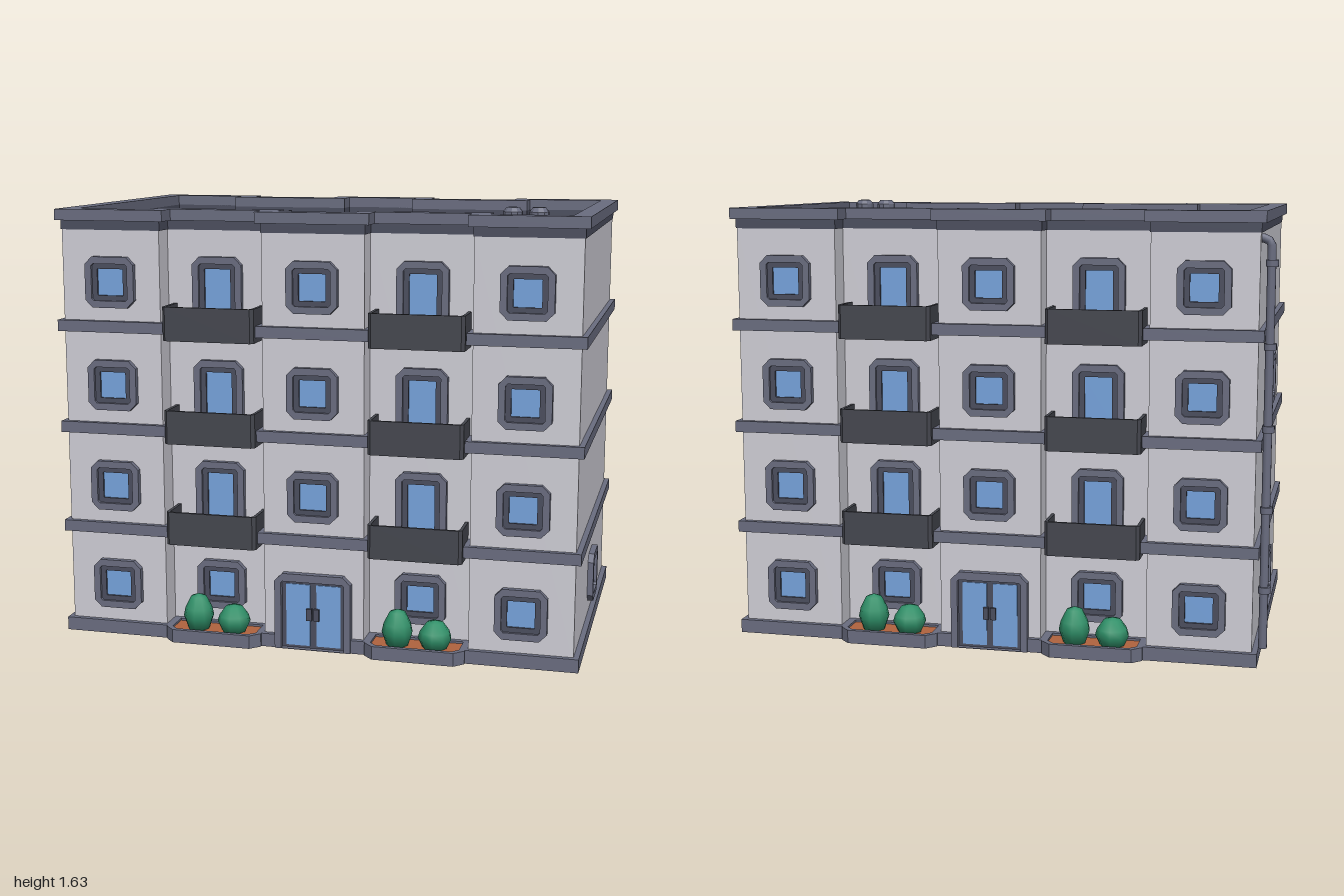
import * as THREE from 'three';

const paint = (color, extra = {}) => new THREE.MeshStandardMaterial({ color, ...extra });
const WALL = paint(0xcfced6), TRIM = paint(0x6a6d80), DARK = paint(0x4b4e5e), GLASS = paint(0x76a3dc);
const RAIL = paint(0x45474f), ROOF = paint(0x3f3f49), LEAF = paint(0x2f8f68), SOIL = paint(0xb0643f);

const BAY = 0.385;      // distance of each recessed bay from the centre line
const STOREY = 0.384;   // floor to floor height
const FACE = 0.58, RECESS = 0.49, SIDE = 0.96;

function add(parent, name, geometry, material, x = 0, y = 0, z = 0) {
  const mesh = new THREE.Mesh(geometry, material);
  mesh.name = name;
  mesh.position.set(x, y, z);
  parent.add(mesh);
  return mesh;
}

const toPoints = (list) => list.map(([x, y]) => new THREE.Vector2(x, y));

// Extrusion of an outline with an optional hole
function prism(outline, depth, hole) {
  const shape = new THREE.Shape(toPoints(outline));
  if (hole) shape.holes.push(new THREE.Path(toPoints(hole)));
  return new THREE.ExtrudeGeometry(shape, { depth, bevelEnabled: false });
}

// The same, lying flat: outline y becomes -z, depth becomes height
const slab = (outline, height, hole) => prism(outline, height, hole).rotateX(-Math.PI / 2);

// Building footprint grown by e, with two recessed bays on front and back
function plan(e, doorNotch = false) {
  const w = SIDE + e, d = FACE + e, r = 0.195 - e, back = RECESS + e;
  const half = [[-w, -d]];
  for (const c of [-BAY, BAY]) {
    half.push([c - r, -d], [c - r, -back], [c + r, -back], [c + r, -d]);
    if (doorNotch && c < 0) half.push([-0.145, -d], [-0.145, -FACE], [0.145, -FACE], [0.145, -d]);
  }
  half.push([w, -d]);
  return [...half, ...half.map(([x, y]) => [-x, -y])];
}

// Rectangle with cut corners: c at the top, b at the bottom
function cutRect(w, y0, y1, c, b = c) {
  const x = w / 2;
  const pts = [[-x + b, y0], [x - b, y0], [x, y0 + b], [x, y1 - c], [x - c, y1], [-x + c, y1], [-x, y1 - c], [-x, y0 + b]];
  return b > 0 ? pts : pts.filter((p, i) => i !== 0 && i !== 1);
}

// Framed window standing on the plane z = 0, facing +z
function makeWindow(name, h = 0.188) {
  const g = new THREE.Group();
  g.name = name;
  const inner = cutRect(0.14, 0.026, h - 0.026, 0.008);
  const pane = cutRect(0.1, 0.045, h - 0.045, 0.002);
  add(g, 'outerFrame', prism(cutRect(0.19, 0, h, 0.028), 0.022, inner), TRIM);
  add(g, 'innerFrame', prism(inner, 0.011, pane), DARK);
  add(g, 'glass', prism(pane, 0.003), GLASS);
  return g;
}

function makeEntrance() {
  const g = new THREE.Group();
  g.name = 'entrance';
  const opening = cutRect(0.24, 0.002, 0.26, 0.006, 0);
  add(g, 'doorFrame', prism(cutRect(0.29, 0, 0.29, 0.03, 0), 0.026, opening), TRIM);
  add(g, 'doorPanel', prism(opening, 0.006), DARK);
  for (const s of [-1, 1]) {
    add(g, 'doorGlass', new THREE.BoxGeometry(0.092, 0.236, 0.004), GLASS, s * 0.058, 0.13, 0.008);
    add(g, 'doorHandle', new THREE.BoxGeometry(0.02, 0.045, 0.014), DARK, s * 0.014, 0.135, 0.014);
  }
  return g;
}

// Front-cornered tray outline reaching from z = back to z = front
const tray = (hw, back, front, c) =>
  [[-hw, -back], [-hw, -front + c], [-hw + c, -front], [hw - c, -front], [hw, -front + c], [hw, -back]];

function makeBalcony() {
  const g = new THREE.Group();
  g.name = 'balcony';
  add(g, 'balconyFloor', slab(tray(0.165, RECESS, 0.615, 0.008), 0.05), TRIM, 0, 0.004);
  add(g, 'balconyUnderside', slab(tray(0.174, RECESS, 0.624, 0.012), 0.004), RAIL);
  const outer = tray(0.174, RECESS, 0.626, 0.012), inside = tray(0.162, RECESS, 0.614, 0.006).reverse();
  add(g, 'balconyRail', slab([...outer, ...inside], 0.125), RAIL);
  return g;
}

function makePlanter() {
  const g = new THREE.Group();
  g.name = 'planter';
  add(g, 'planterCurb', slab(tray(0.186, RECESS, 0.643, 0.035), 0.05, tray(0.165, RECESS + 0.015, 0.625, 0.025)), TRIM);
  add(g, 'soil', slab(tray(0.17, RECESS, 0.63, 0.025), 0.02), SOIL, 0, 0.022);
  const bush = (x, r, h) => {
    const profile = toPoints([[0, 0], [0.7 * r, 0], [r, 0.36 * h], [0.88 * r, 0.6 * h], [0.5 * r, 0.92 * h], [0, h]]);
    add(g, 'bush', new THREE.LatheGeometry(profile, 9), LEAF, x, 0.04, 0.57);
  };
  bush(-0.07, 0.058, 0.137);
  bush(0.07, 0.063, 0.105);
  return g;
}

// One long facade, facing +z
function makeFacade(name) {
  const g = new THREE.Group();
  g.name = name;
  for (let f = 0; f < 4; f++) {
    const y = f * STOREY;
    for (const x of [-0.77, 0, 0.77]) {
      if (f === 0 && x === 0) continue;
      const win = makeWindow('window');
      win.position.set(x, y + 0.103, FACE);
      g.add(win);
    }
    for (const x of [-BAY, BAY]) {
      const bay = f ? makeWindow('balconyDoor', 0.26) : makeWindow('bayWindow');
      bay.position.set(x, y + (f ? 0.031 : 0.103), RECESS);
      const front = f ? makeBalcony() : makePlanter();
      front.position.set(x, f ? y - 0.009 : 0, 0);
      g.add(bay, front);
    }
  }
  const door = makeEntrance();
  door.position.z = FACE;
  g.add(door);
  return g;
}

export function createModel() {
  const model = new THREE.Group();
  model.name = 'apartmentBlock';
  const house = new THREE.Group();
  house.name = 'building';
  house.position.x = 0.02;
  model.add(house);

  // Walls, plinth, floor ledges and roof edge
  add(house, 'walls', slab(plan(0), 1.52), WALL, 0, 0.02);
  add(house, 'plinth', slab(plan(0.02, true), 0.05), TRIM);
  for (let f = 1; f < 4; f++) add(house, 'floorLedge', slab(plan(0.02), 0.042), TRIM, 0, f * STOREY + 0.011);
  add(house, 'cornice', slab(plan(0.003), 0.035, plan(-0.045)), DARK, 0, 1.54);
  add(house, 'parapet', slab(plan(0.02), 0.041, plan(-0.045)), TRIM, 0, 1.574);
  add(house, 'roof', slab(plan(-0.03), 0.008), ROOF, 0, 1.537);

  // Matching long sides
  const back = makeFacade('backFacade');
  back.rotation.y = Math.PI;
  house.add(makeFacade('frontFacade'), back);

  // Windows on the short sides
  for (const [side, floor] of [[1, 0], [-1, 0], [-1, 2]]) {
    const win = makeWindow('sideWindow');
    win.position.set(side * SIDE, floor * STOREY + 0.103, 0);
    win.rotation.y = side * Math.PI / 2;
    house.add(win);
  }

  // Roof hatches and vents
  for (const x of [-0.655, -0.368]) {
    add(model, 'roofHatch', slab(cutRect(0.184, -0.092, 0.092, 0.012), 0.035), TRIM, x, 1.543, -0.1);
  }
  const vent = toPoints([[0.022, 0], [0.02, 0.035], [0.036, 0.052], [0.036, 0.07], [0.024, 0.086], [0, 0.086]]);
  for (const x of [0.695, 0.79]) {
    add(model, 'roofVent', new THREE.LatheGeometry(vent, 10), paint(0x6a6d80, { flatShading: true }), x, 1.543, 0.32);
  }

  // Drainpipe with collars
  const path = new THREE.CurvePath();
  const v = (x, y) => new THREE.Vector3(x, y, -0.53);
  path.add(new THREE.LineCurve3(v(-0.975, 0.055), v(-0.975, 1.49)));
  path.add(new THREE.QuadraticBezierCurve3(v(-0.975, 1.49), v(-0.975, 1.52), v(-0.93, 1.522)));
  add(model, 'drainpipe', new THREE.TubeGeometry(path, 80, 0.016, 10), paint(0x6a6d80, { side: THREE.DoubleSide }));
  for (let i = 0; i < 5; i++) {
    add(model, 'pipeCollar', new THREE.CylinderGeometry(0.023, 0.023, 0.024, 10), TRIM, -0.977, 0.27 + i * 0.291, -0.53);
  }
  return model;
}
